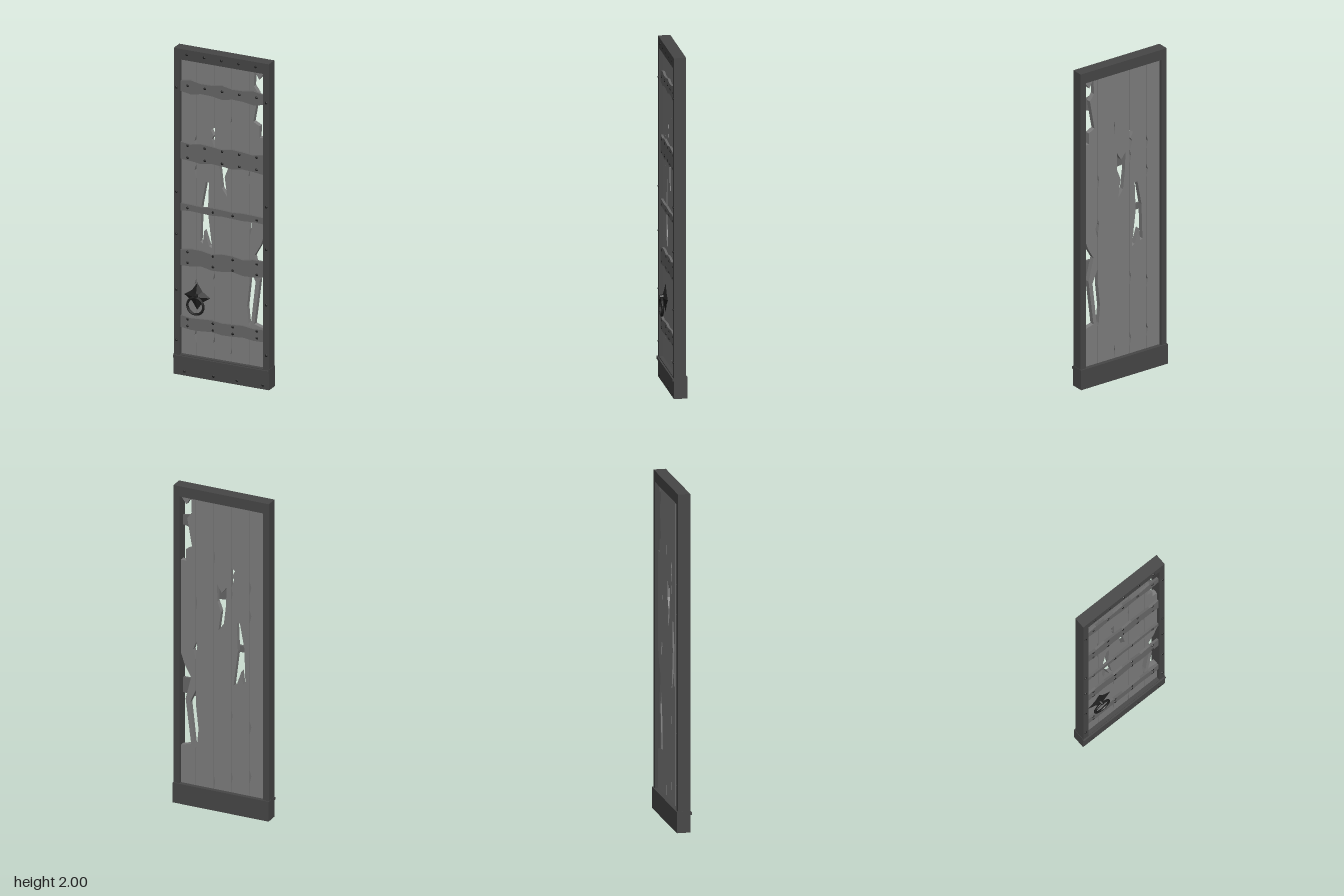
import * as THREE from 'three';

const paint = (color) => new THREE.MeshStandardMaterial({ color, flatShading: true, side: THREE.DoubleSide });
const WOOD = paint(0x7c7c7c), STRAP = paint(0x666666), FRAME = paint(0x464646), IRON = paint(0x1e1e1e);

export function createModel() {
  const door = new THREE.Group();
  door.name = 'door';

  const add = (name, geometry, material, x = 0, y = 0, z = 0) => {
    const mesh = new THREE.Mesh(geometry, material);
    mesh.name = name;
    mesh.position.set(x, y, z);
    door.add(mesh);
  };
  // box given by its limits on each axis
  const block = (name, material, [x0, x1], [y0, y1], [z0, z1]) =>
    add(name, new THREE.BoxGeometry(x1 - x0, y1 - y0, z1 - z0), material,
      (x0 + x1) / 2, (y0 + y1) / 2, (z0 + z1) / 2);
  const toPoints = (list) => list.map(([x, y]) => new THREE.Vector2(x, y));
  // flat outline with an optional hole, extruded from z0 to z1
  const slab = (name, material, outline, hole, z0, z1) => {
    const shape = new THREE.Shape(toPoints(outline));
    if (hole) shape.holes.push(new THREE.Path(toPoints(hole)));
    add(name, new THREE.ExtrudeGeometry(shape, { depth: z1 - z0, bevelEnabled: false }), material, 0, 0, z0);
  };

  // Frame
  const depth = [-0.038, 0.034];
  block('leftPost', FRAME, [0.265, 0.303], [0.1, 1.935], depth);
  block('rightPost', FRAME, [-0.303, -0.265], [0.1, 1.935], depth);
  block('topRail', FRAME, [-0.303, 0.303], [1.935, 2], depth);
  block('kickPlate', FRAME, [-0.305, 0.305], [0, 0.125], [-0.046, 0.034]);
  block('kickTrim', FRAME, [-0.305, 0.305], [0.103, 0.119], [0.034, 0.043]);

  // Planks: the +x edge runs downwards, the -x edge upwards
  const plank = (name, x0, x1, downEdge, upEdge, hole) =>
    slab(name, WOOD, [[x0, 1.95], [x1, 1.95], ...downEdge, [x1, 0.1], [x0, 0.1], ...upEdge], hole, -0.02, 0.01);
  // splintered notches at the given heights along a plank's +x edge
  const notches = (x, heights, cut = 0.011) =>
    heights.flatMap((y) => [[x, y + 0.035], [x - cut, y], [x, y - 0.045]]);

  plank('plank1', -0.268, -0.172, notches(-0.172, [1.44, 1.26, 0.56, 0.25]), []);
  plank('plank2', -0.169, -0.056,
    [[-0.056, 1.54], [-0.08, 1.525], [-0.06, 1.49], [-0.073, 1.47], ...notches(-0.056, [1.38, 0.61, 0.22], 0.008)], [],
    [[-0.11, 1.2], [-0.09, 1.2], [-0.097, 1.02], [-0.07, 0.8], [-0.09, 0.81], [-0.12, 0.9], [-0.13, 0.82],
      [-0.145, 0.83], [-0.138, 1.05]]);
  plank('plank3', -0.053, 0.054, notches(0.054, [1.59, 0.17], 0.007), [],
    [[-0.025, 1.41], [0.005, 1.37], [0.035, 1.42], [0.033, 1.31], [0.01, 1.25], [0.026, 1.13],
      [-0.008, 1.18], [-0.022, 1.3]]);
  plank('plank4', 0.057, 0.168,
    [...notches(0.168, [1.28, 1], 0.007), [0.168, 0.62], [0.153, 0.48], [0.163, 0.38], [0.168, 0.36]], []);
  plank('plank5', 0.172, 0.267,
    [[0.262, 1.93], [0.23, 1.885], [0.2, 1.935], [0.196, 1.84], [0.225, 1.8], [0.193, 1.62], [0.233, 1.6],
      [0.231, 1.53], [0.267, 1.53], [0.267, 0.95], [0.24, 0.87], [0.2, 0.8], [0.235, 0.66], [0.2, 0.38], [0.267, 0.36]],
    [[0.172, 0.36], [0.18, 0.4], [0.207, 0.64], [0.172, 0.72], [0.172, 0.92], [0.186, 0.98], [0.172, 1.02]]);

  // Rivets: low domes facing forward
  const dome = new THREE.SphereGeometry(0.0085, 8, 3, 0, Math.PI * 2, 0, Math.PI / 2);
  dome.rotateX(Math.PI / 2).scale(1, 1, 0.55);
  const rivets = (xs, ys, z) => ys.forEach((y) => xs.forEach((x) => add('rivet', dome, IRON, x, y, z)));
  const five = [-0.22, -0.11, 0, 0.11, 0.22], four = [-0.22, -0.058, 0.068, 0.222];

  // Straps: hand-hewn bands whose edges waver between evenly spaced stations
  const strap = (name, low, high, waver, xs, ys) => {
    const edge = (y, phase) => Array.from({ length: 9 }, (_, i) =>
      [-0.266 + i * 0.0665, y + waver * Math.sin(i * 2.1 + phase)]);
    slab(name, STRAP, [...edge(low, high * 5), ...edge(high, low * 7).reverse()], null, 0.01, 0.024);
    rivets(xs, ys, 0.024);
  };
  strap('strap1', 1.735, 1.805, 0.008, five, [1.777]);
  strap('strap2', 1.317, 1.425, 0.007, five, [1.41, 1.335]);
  strap('strap3', 1.008, 1.048, 0.003, four, [1.027]);
  strap('strap4', 0.674, 0.773, 0.008, four, [0.757, 0.692]);
  strap('strap5', 0.286, 0.358, 0.005, four, [0.345, 0.303]);
  rivets(five, [1.97], 0.034);
  rivets([-0.235, -0.05, 0.1, 0.265], [0.025], 0.034);
  rivets([-0.286, 0.286], [1.76, 1.12, 0.86, 0.52, 0.21], 0.034);

  // Handle: four-pointed star plate, made from a cone with every other corner drawn in
  const star = new THREE.ConeGeometry(0.083, 0.022, 8).rotateX(Math.PI / 2);
  const p = star.attributes.position;
  for (let i = 0; i < p.count; i++) {
    const x = p.getX(i), y = p.getY(i);
    const diagonal = Math.abs(x) > 0.02 && Math.abs(y) > 0.02;
    if (diagonal) p.setXY(i, x * 0.57, y * 0.57);
  }
  add('handlePlate', star, IRON, -0.165, 0.49, 0.021);
  const knob = new THREE.CylinderGeometry(0.01, 0.014, 0.02, 8).rotateX(Math.PI / 2);
  add('handleKnob', knob, IRON, -0.165, 0.498, 0.034);
  add('handleRing', new THREE.TorusGeometry(0.051, 0.0075, 8, 24), IRON, -0.165, 0.438, 0.035);

  return door;
}
